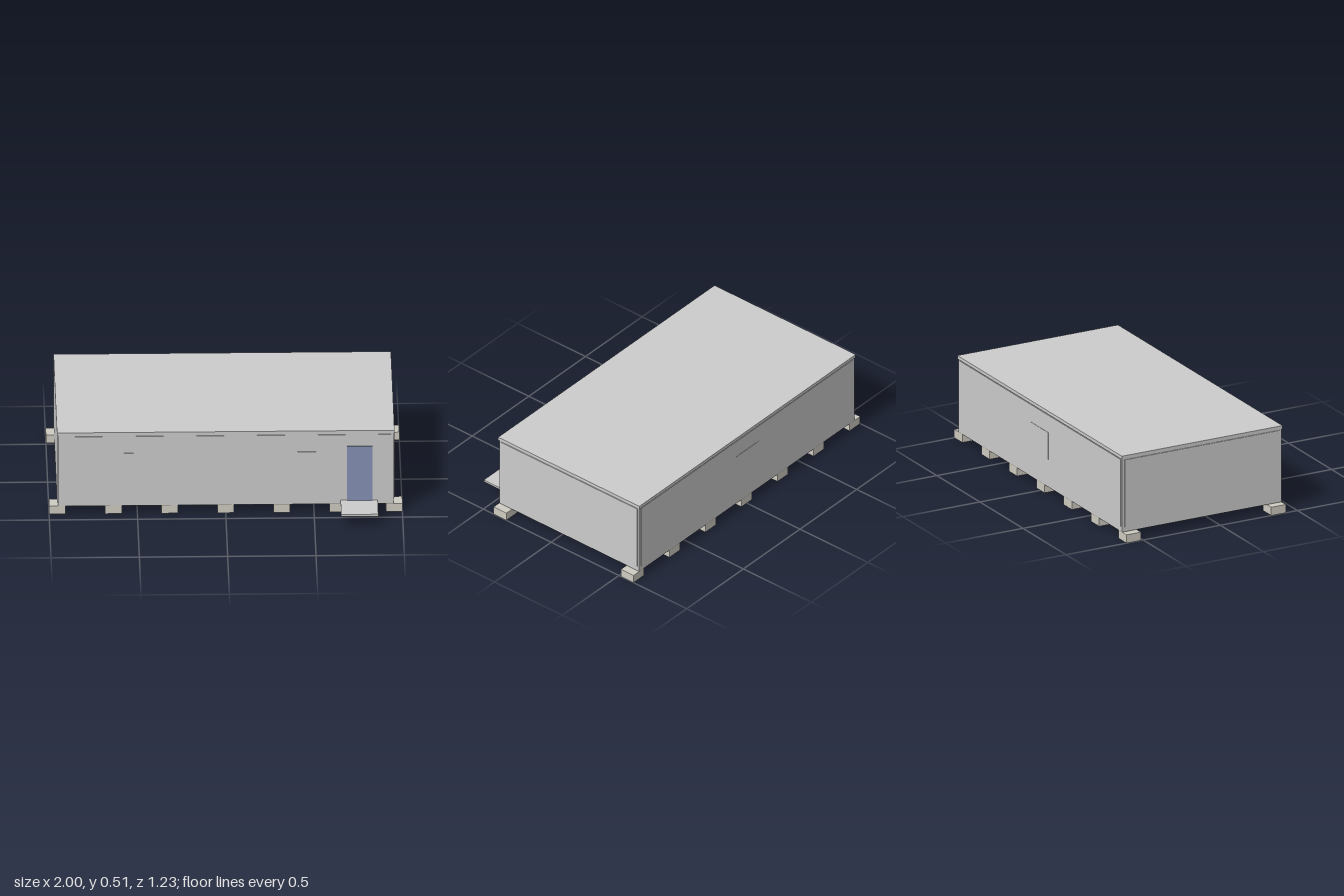
import * as THREE from 'three';

const grey = new THREE.MeshStandardMaterial({ color: 0xcccccc });
const concrete = new THREE.MeshStandardMaterial({ color: 0xcfccc2 });
const timber = new THREE.MeshStandardMaterial({ color: 0x8c8270 });
const doorBlue = new THREE.MeshStandardMaterial({ color: 0x8590b4 });

export function createModel() {
  const model = new THREE.Group();

  // Box given by its lower and upper corners
  const box = (name, x0, x1, y0, y1, z0, z1, material = grey) => {
    const mesh = new THREE.Mesh(new THREE.BoxGeometry(x1 - x0, y1 - y0, z1 - z0), material);
    mesh.position.set((x0 + x1) / 2, (y0 + y1) / 2, (z0 + z1) / 2);
    mesh.name = name;
    model.add(mesh);
  };

  const back = -0.608, front = 0.424, side = 0.95;

  // Cabin frame, floor underside and roof cap
  box('cabinFrame', -side, side, 0.052, 0.495, back, front);
  box('floor', -side, side, 0.05, 0.052, back, front, timber);
  box('roof', -0.955, 0.955, 0.49, 0.51, -0.613, 0.428);

  // Wall panels standing slightly proud of the frame
  box('frontWall', -0.935, 0.935, 0.08, 0.484, front, 0.427);
  box('backWall', -0.935, 0.935, 0.08, 0.484, -0.611, back);
  box('rightEndWall', -0.955, -side, 0.08, 0.484, -0.594, 0.41);
  box('leftEndWall', side, 0.955, 0.08, 0.484, -0.594, 0.41);

  // Window panels
  box('frontWindow', -0.575, -0.385, 0.22, 0.38, 0.427, 0.429);
  box('frontWindow', 0.375, 0.57, 0.22, 0.38, 0.427, 0.429);
  box('backWindow', -0.1, 0.1, 0.22, 0.38, -0.613, -0.611);

  // Door and entrance platform
  box('door', 0.685, 0.83, 0.07, 0.412, front, 0.43, doorBlue);
  box('doorstep', 0.65, 0.86, 0.06, 0.073, front, 0.613);

  // Two rows of foundation blocks
  for (let i = 0; i < 7; i++) {
    const x = -0.953 + i * 0.3177;
    box('frontFootingBlock', x - 0.047, x + 0.047, 0, 0.05, 0.33, 0.424, concrete);
    box('backFootingBlock', x - 0.047, x + 0.047, 0, 0.05, -0.608, -0.515, concrete);
  }

  return model;
}
